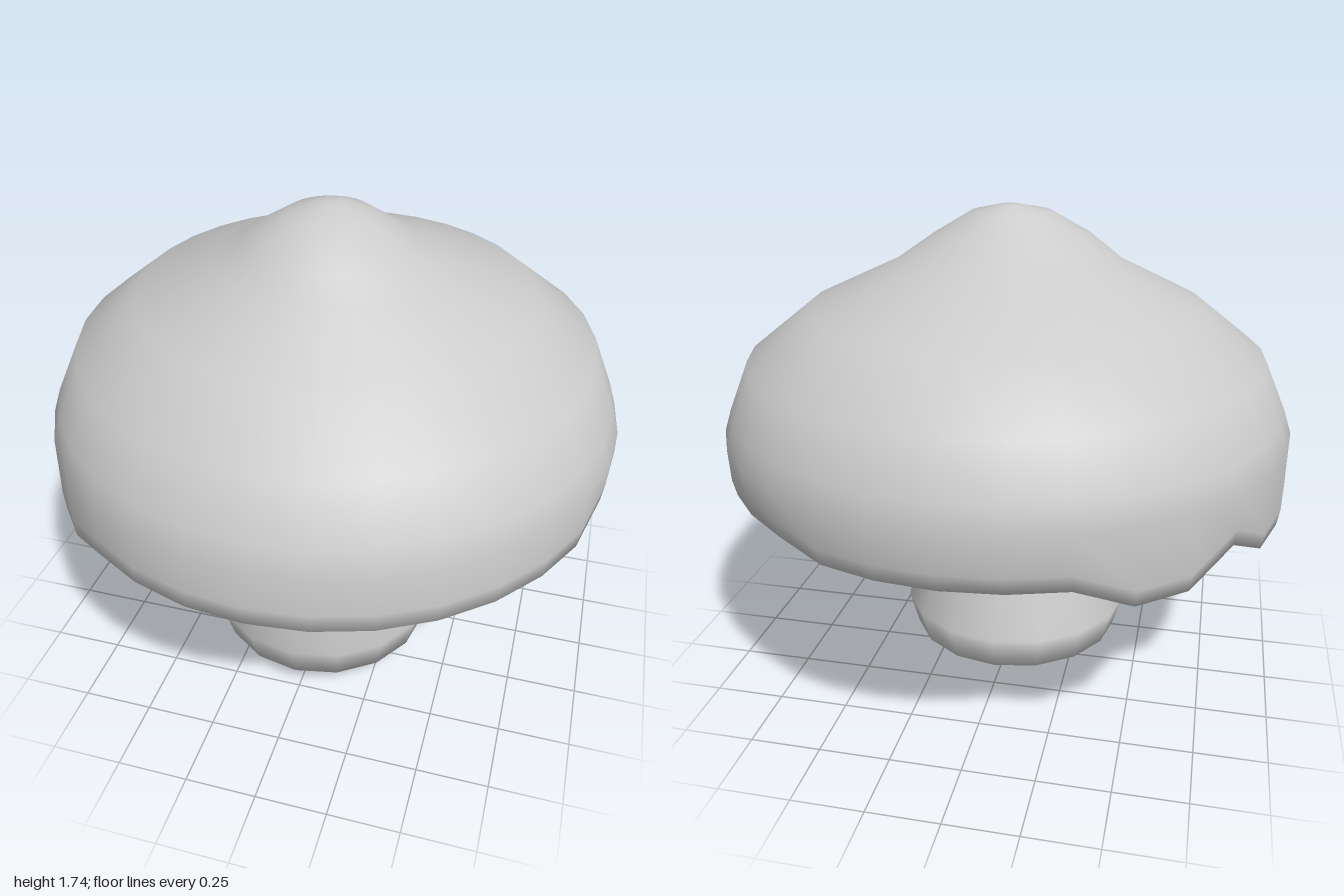
import * as THREE from 'three';
import { mergeVertices } from 'three/addons/utils/BufferGeometryUtils.js';

// Skin a stack of rings, bottom first. ring = [radius, y, centreZ, centreX];
// y may be a function of the segment index for a wavy ring.
function skinRings(rings, segments) {
  const positions = [];
  const index = [];
  for (const [r, y, cz, cx = 0] of rings) {
    for (let i = 0; i < segments; i++) {
      const a = (i / segments) * Math.PI * 2;
      const height = typeof y === 'function' ? y(i) : y;
      positions.push(cx + r * Math.sin(a), height, cz + r * Math.cos(a));
    }
  }
  for (let j = 0; j < rings.length - 1; j++) {
    for (let i = 0; i < segments; i++) {
      const next = (i + 1) % segments;
      const a = j * segments + i, b = j * segments + next;
      const c = a + segments, d = b + segments;
      if (rings[j][0] > 0) index.push(a, b, c);
      if (rings[j + 1][0] > 0) index.push(b, d, c);
    }
  }
  const geometry = new THREE.BufferGeometry();
  geometry.setAttribute('position', new THREE.Float32BufferAttribute(positions, 3));
  geometry.setIndex(index);
  const merged = mergeVertices(geometry);
  merged.computeVertexNormals();
  return merged;
}

export function createModel() {
  const group = new THREE.Group();
  group.name = 'mushroom';
  const material = new THREE.MeshStandardMaterial({ color: 0xcccccc, side: THREE.DoubleSide });

  // Uneven lower edge of the cap, counted from the front towards +x
  const rim = [
    0.81, 0.81, 0.81, 0.81, 0.81, 0.81, 0.81, 0.87,
    0.87, 0.81, 0.82, 0.83, 0.84, 0.84, 0.81, 0.81,
    0.81, 0.81, 0.81, 0.73, 0.73, 0.82, 0.73, 0.73,
    0.73, 0.73, 0.73, 0.73, 0.75, 0.81, 0.81, 0.81,
  ];

  // Cap: hollow conical underside, wavy rounded rim, domed shoulder and an off-centre peak
  const cap = new THREE.Mesh(skinRings([
    [0, 1.05, 0.05],
    [0.95, (i) => rim[i] * 0.965 + 1.05 * 0.035, 0.014],
    [0.983, (i) => rim[i], 0.013],
    [0.992, (i) => rim[i] + 0.06, 0.004],
    [0.992, 1.0, -0.006],
    [0.965, 1.08, -0.008],
    [0.89, 1.25, -0.02],
    [0.68, 1.415, -0.02],
    [0.405, 1.54, 0.025],
    [0.275, 1.63, 0.075],
    [0.14, 1.71, 0.06],
    [0.04, 1.736, 0.03],
    [0, 1.738, 0.03],
  ], 32), material);
  cap.name = 'cap';
  group.add(cap);

  // Stem: bulbous foot, open at the bottom, bending sideways where it meets the cap
  const stem = new THREE.Mesh(skinRings([
    [0.22, 0, 0.09, -0.005],
    [0.395, 0.095, 0.12, -0.008],
    [0.43, 0.22, 0.12, -0.01],
    [0.312, 0.575, 0.18, -0.01],
    [0.272, 0.77, 0.155, -0.012],
    [0.225, 1.03, 0, -0.1],
  ], 16), material);
  stem.name = 'stem';
  group.add(stem);

  return group;
}
